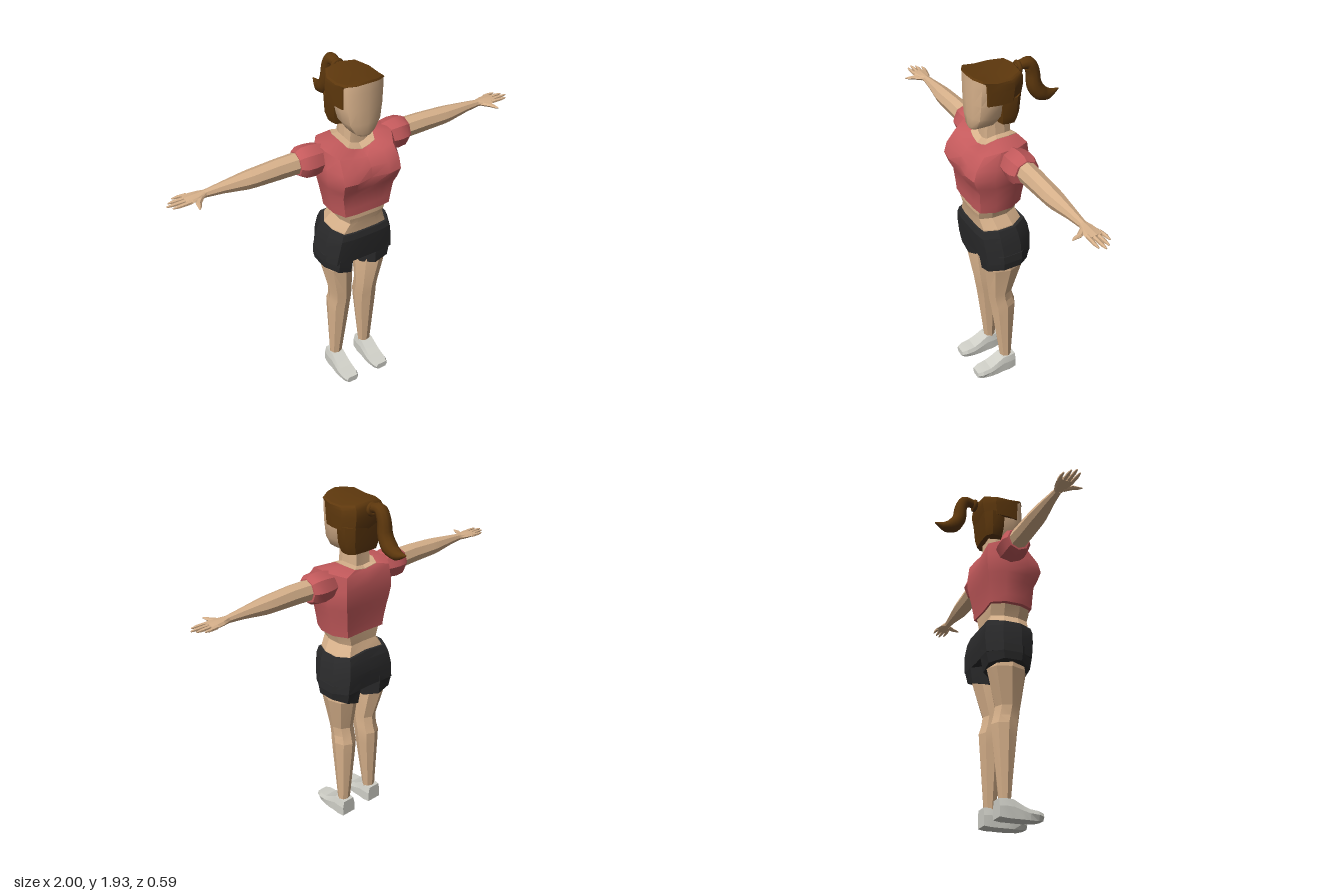
import * as THREE from 'three';
import { toCreasedNormals } from 'three/addons/utils/BufferGeometryUtils.js';

const material = (name, color) => Object.assign(new THREE.MeshStandardMaterial({ color }), { name });

// Closed skin over a series of equal-length rings; faces are turned outward by signed volume.
function loft(rings, crease = 0.2) {
  const tris = [];
  const n = rings[0].length;
  for (let r = 0; r < rings.length - 1; r++) {
    for (let i = 0; i < n; i++) {
      const j = (i + 1) % n, a = rings[r], b = rings[r + 1];
      tris.push([a[i], a[j], b[j]], [a[i], b[j], b[i]]);
    }
  }
  for (const [ring, flip] of [[rings[0], true], [rings[rings.length - 1], false]]) {
    const c = ring.reduce((s, p) => s.add(p), new THREE.Vector3()).divideScalar(n);
    for (let i = 0; i < n; i++) {
      const j = (i + 1) % n;
      tris.push(flip ? [c, ring[j], ring[i]] : [c, ring[i], ring[j]]);
    }
  }
  const volume = tris.reduce((s, [a, b, c]) => s + a.dot(b.clone().cross(c)), 0);
  const pos = [];
  for (const [a, b, c] of tris) {
    for (const p of volume < 0 ? [a, c, b] : [a, b, c]) pos.push(p.x, p.y, p.z);
  }
  const geo = new THREE.BufferGeometry();
  geo.setAttribute('position', new THREE.Float32BufferAttribute(pos, 3));
  return toCreasedNormals(geo, crease);
}

// Symmetric body rings; each row is [yFront, ySide, yBack, halfWidth, zFront, zBack, frontDip].
const BODY = { x: [0, 0.45, 0.8, 1, 1, 0.75, 0], t: [1, 1, 0.97, 0.68, 0.3, 0, 0.02] };
const SKULL = { x: [0, 0.5, 0.9, 1, 1, 0.7, 0], t: [1, 0.965, 0.86, 0.6, 0.3, 0.03, 0] };
function bodyRings(rows, shape = BODY) {
  return rows.map(([yF, yS, yB, w, zF, zB, dip = 0]) => {
    const ys = [yF, yF * 0.75 + yS * 0.25, (yF + yS) / 2, yS, yS, (yS + yB) / 2, yB];
    const half = shape.x.map((x, i) =>
      new THREE.Vector3(x * w, ys[i], zB + (zF - zB) * shape.t[i] - (i ? 0 : dip)));
    const other = half.slice(1, -1).reverse().map(p => new THREE.Vector3(-p.x, p.y, p.z));
    return [...half, ...other];
  });
}
const level = rows => rows.map(([y, ...rest]) => [y, y, y, ...rest]);

// Elliptic ring from two bounds; make(u, v) places it in space.
function ring(u0, u1, v0, v1, make, n = 8, turn = 0) {
  const k = turn ? 1 / Math.cos(Math.PI / n) : 1;
  return Array.from({ length: n }, (_, i) => {
    const a = turn + i * 2 * Math.PI / n;
    return make((u0 + u1) / 2 + (u1 - u0) / 2 * k * Math.cos(a), (v0 + v1) / 2 + (v1 - v0) / 2 * k * Math.sin(a));
  });
}
const V = (x, y, z) => new THREE.Vector3(x, y, z);

export function createModel() {
  const model = new THREE.Group();
  model.name = 'woman';
  const skin = material('skin', 0xd6b08a);
  const red = material('shirtRed', 0xc45a5c);
  const black = material('shortsBlack', 0x2a2a2b);
  const brown = material('hairBrown', 0x5e380d);
  const grey = material('shoeGrey', 0xd0d0c8);
  const add = (name, geo, mat) => {
    const mesh = new THREE.Mesh(geo, mat);
    mesh.name = name;
    model.add(mesh);
    return mesh;
  };

  // Torso
  add('waist', loft(bodyRings(level([
    [1.04, 0.165, 0.225, -0.01], [1.075, 0.155, 0.228, -0.005], [1.13, 0.117, 0.235, 0.015],
    [1.165, 0.128, 0.243, 0.012], [1.215, 0.148, 0.24, 0.01],
  ]))), skin);
  add('shirt', loft(bodyRings([
    ...level([
      [1.195, 0.165, 0.25, 0], [1.24, 0.172, 0.252, -0.003], [1.32, 0.186, 0.258, -0.015],
      [1.365, 0.197, 0.28, -0.022], [1.42, 0.207, 0.3, -0.03, 0.018], [1.475, 0.205, 0.284, -0.03, 0.012],
    ]),
    [1.515, 1.565, 1.535, 0.195, 0.235, -0.022],
    [1.53, 1.583, 1.555, 0.1, 0.185, -0.005],
  ]), 0.6), red);
  add('neck', loft(bodyRings([
    [1.52, 1.57, 1.545, 0.1, 0.186, -0.005], [1.533, 1.585, 1.558, 0.097, 0.182, -0.003],
    [1.555, 1.585, 1.57, 0.062, 0.155, 0.018], ...level([[1.68, 0.056, 0.15, 0.022]]),
  ])), skin);

  // Shorts: hips here, legs below
  add('shortsHips', loft(bodyRings([
    [0.875, 0.875, 0.875, 0.213, 0.227, -0.04], [0.97, 0.97, 0.97, 0.2, 0.24, -0.045],
    [1.03, 1.035, 1.04, 0.186, 0.245, -0.035], [1.065, 1.07, 1.085, 0.172, 0.238, -0.02],
  ])), black);

  // Head
  add('head', loft(bodyRings([
    ...level([
      [1.63, 0.035, 0.226, 0.14], [1.645, 0.06, 0.232, 0.08], [1.70, 0.095, 0.235, 0.05],
      [1.78, 0.108, 0.236, 0.02], [1.87, 0.114, 0.236, 0],
    ]),
    [1.921, 1.897, 1.91, 0.113, 0.235, 0],
  ], SKULL), 0.9), skin);
  add('upperHair', loft(bodyRings([
    ...level([[1.78, 0.122, 0.205, -0.024], [1.85, 0.125, 0.211, -0.038]]),
    [1.908, 1.885, 1.9, 0.124, 0.214, -0.036], [1.922, 1.898, 1.914, 0.121, 0.238, -0.03],
    [1.933, 1.905, 1.922, 0.112, 0.233, -0.022],
  ], SKULL), 0.5), brown);
  add('lowerHair', loft(bodyRings(level([
    [1.652, 0.1, 0.1, -0.008], [1.7, 0.117, 0.108, -0.016], [1.80, 0.121, 0.118, -0.026],
  ]), SKULL), 0.5), brown);

  // Ponytail: tapered sweep, rows of [y, z, radius]
  const tail = [[1.885, -0.03, 0.024], [1.9, -0.075, 0.027], [1.897, -0.112, 0.034], [1.85, -0.135, 0.036],
    [1.775, -0.145, 0.04], [1.722, -0.178, 0.042], [1.70, -0.225, 0.032], [1.712, -0.292, 0.003]];
  const path = new THREE.CatmullRomCurve3(tail.map(([y, z]) => V(0, y, z)));
  const tailRings = Array.from({ length: 22 }, (_, k) => {
    const t = k / 21, f = t * (tail.length - 1), i = Math.min(Math.floor(f), tail.length - 2);
    const r = THREE.MathUtils.lerp(tail[i][2], tail[i + 1][2], f - i);
    const p = path.getPoint(t), d = path.getTangent(t);
    return ring(-r, r, -r, r, (u, v) => V(u, p.y - d.z * v, p.z + d.y * v), 10);
  });
  add('ponytail', loft(tailRings, 0.9), brown);
  add('hairTie', new THREE.TorusGeometry(0.026, 0.012, 8, 16), brown).position.set(0, 1.888, -0.05);

  for (const [side, s] of [['left', 1], ['right', -1]]) {
    // Rings stacked upward, along the arm, and along the shoe
    const legRing = ([y, x0, x1, z0, z1]) => ring(x0, x1, z0, z1, (x, z) => V(s * x, y, z));
    const armRing = ([x, y0, y1, z0, z1]) => ring(y0, y1, z0, z1, (y, z) => V(s * x, y, z));

    add(side + 'Leg', loft([
      [0.88, 0.03, 0.185, 0, 0.205], [0.8, 0.02, 0.192, -0.018, 0.209], [0.6, 0.022, 0.15, 0.038, 0.18],
      [0.545, 0.022, 0.146, 0.028, 0.173], [0.5, 0.022, 0.152, 0.015, 0.165],
      [0.43, 0.027, 0.15, 0.02, 0.156], [0.05, 0.066, 0.134, 0.053, 0.108],
    ].map(legRing)), skin);

    // Shorts leg with a slanted hem
    add(side + 'ShortsLeg', loft([[0.92, 0.92, 0.012, 0.21, -0.04, 0.226], [0.875, 0.875, 0.015, 0.213, -0.04, 0.224],
      [0.77, 0.832, 0.024, 0.207, -0.025, 0.213]].map(([yIn, yOut, x0, x1, z0, z1]) =>
      ring(x0, x1, z0, z1, (x, z) => V(s * x, yIn + (yOut - yIn) * (x - x0) / (x1 - x0), z), 8, Math.PI / 8))), black);

    // Shoe sections: [z, top, topHalf, bottom, bottomHalf]
    add(side + 'Shoe', loft([[0.035, 0.1, 0.044, 0.005, 0.044], [0.075, 0.102, 0.048, 0, 0.048],
      [0.115, 0.1, 0.046, 0, 0.046], [0.16, 0.075, 0.048, 0, 0.048], [0.2, 0.058, 0.05, 0, 0.046],
      [0.25, 0.053, 0.048, 0.002, 0.038], [0.28, 0.046, 0.036, 0.008, 0.024]].map(([z, top, a, low, b]) =>
      [[-a * 0.8, top], [a * 0.8, top], [a, top * 0.6], [b, low], [-b, low], [-a, top * 0.6]]
        .map(([x, y]) => V(s * (0.102 + x), y, z)))), grey);

    add(side + 'Sleeve', loft([
      [0.15, 1.44, 1.56, 0.02, 0.15], [0.205, 1.42, 1.577, 0.005, 0.165], [0.25, 1.412, 1.584, 0, 0.172],
      [0.295, 1.416, 1.582, 0.002, 0.168], [0.322, 1.435, 1.565, 0.018, 0.15],
    ].map(armRing), 0.6), red);
    add(side + 'Arm', loft([
      [0.28, 1.445, 1.56, 0.028, 0.138], [0.42, 1.448, 1.56, 0.035, 0.136], [0.56, 1.453, 1.55, 0.037, 0.134],
      [0.6, 1.455, 1.547, 0.04, 0.13], [0.72, 1.474, 1.532, 0.054, 0.112], [0.82, 1.483, 1.519, 0.064, 0.1],
    ].map(armRing)), skin);

    // Hand
    add(side + 'Palm', loft([
      [0.8, 1.483, 1.52, 0.063, 0.1], [0.84, 1.485, 1.518, 0.046, 0.116],
      [0.88, 1.487, 1.516, 0.037, 0.125], [0.91, 1.49, 1.512, 0.04, 0.118],
    ].map(armRing)), skin);
    [[0.046, 0.04, 0.955], [0.068, 0.066, 0.985], [0.09, 0.09, 1], [0.112, 0.116, 0.98]].forEach(([zA, zB, tip], i) => {
      add(side + 'Finger' + (i + 1), loft([[0.885, zA, 0.011], [tip - 0.03, zB, 0.009], [tip, zB, 0.004]]
        .map(([x, z, r]) => ring(-r, r, -r, r, (u, v) => V(s * x, 1.501 + u, z + v), 6))), skin);
    });
    add(side + 'Thumb', loft([[0.835, 0.1, 0.016], [0.862, 0.137, 0.013], [0.868, 0.163, 0.009], [0.876, 0.182, 0.003]]
      .map(([x, z, r]) => ring(-r, r, -r, r, (u, v) => V(s * (x + u), 1.498 + v * 0.8, z - u * 0.4), 6))), skin);
  }
  return model;
}
